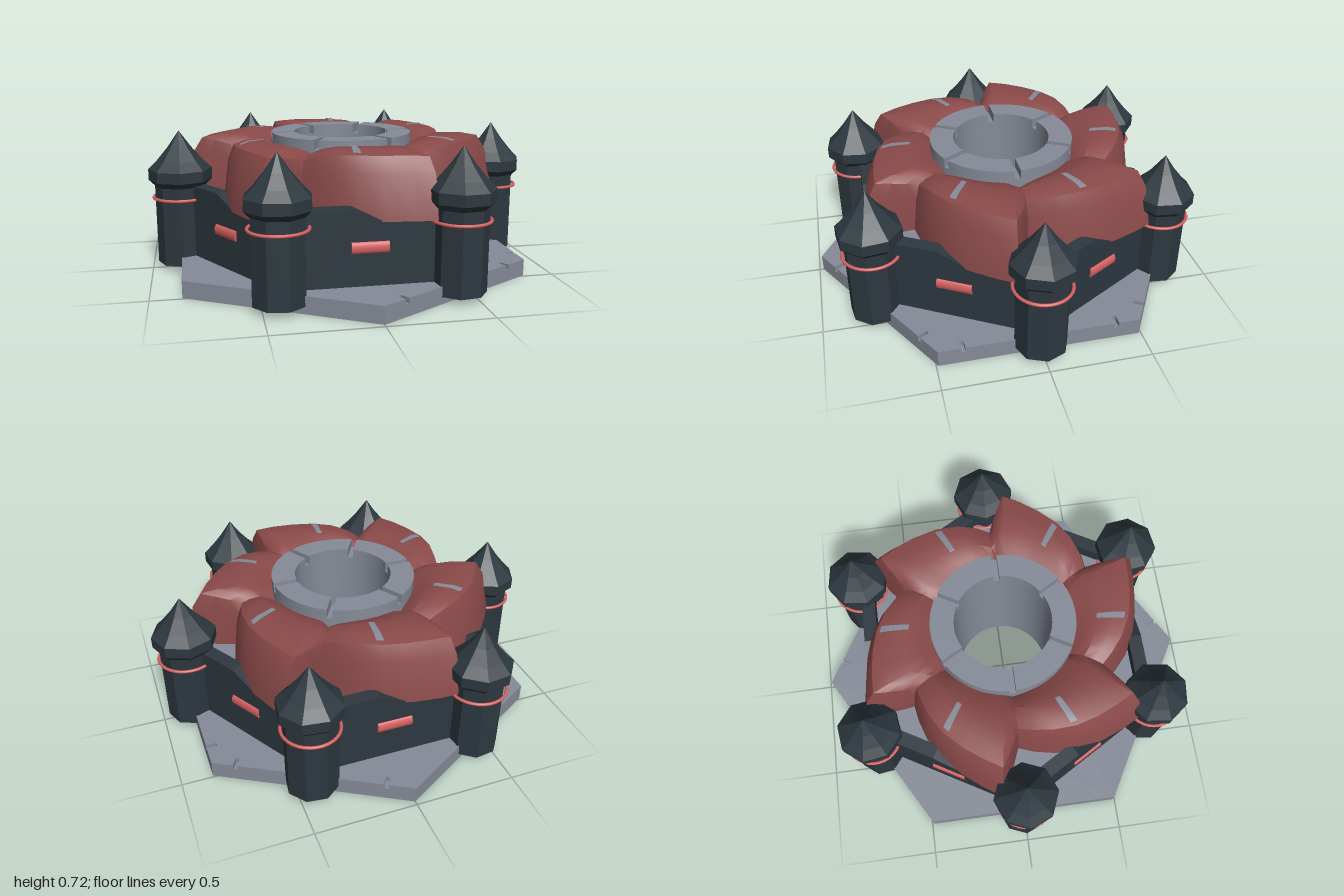
import * as THREE from 'three';
import { toCreasedNormals } from 'three/addons/utils/BufferGeometryUtils.js';

const mat = (name, color, side = THREE.FrontSide) =>
  Object.assign(new THREE.MeshStandardMaterial({ color, side }), { name });
const stone = mat('grey stone', 0x858b98, THREE.DoubleSide);
const dark = mat('dark slate', 0x2d383f);
const roofRed = mat('dull red', 0x8a4a49, THREE.DoubleSide);
const lampRed = mat('bright red', 0xd86262);

const SIXTH = Math.PI / 3;
const HOLE = 0.246;

function mesh(name, geo, material, parent) {
  const m = new THREE.Mesh(geo, material);
  m.name = name;
  parent.add(m);
  return m;
}

// Extrude a plan shape upwards from y0 to y1
function slab(shape, y0, y1) {
  const g = new THREE.ExtrudeGeometry(shape, { depth: y1 - y0, bevelEnabled: false, curveSegments: 48 });
  return g.rotateX(-Math.PI / 2).translate(0, y0, 0);
}

// Hexagon with a round hole; notches lists cut positions for each edge
function hexagon(radius, start, notches = []) {
  const corner = (i) => new THREE.Vector2(Math.cos(start + i * SIXTH), Math.sin(start + i * SIXTH)).multiplyScalar(radius);
  const points = [];
  for (let i = 0; i < 6; i++) {
    const a = corner(i), b = corner(i + 1);
    const mid = a.clone().add(b).normalize();
    points.push(a);
    for (const f of notches[i] || []) {
      const p = a.clone().lerp(b, f - 0.011), q = a.clone().lerp(b, f + 0.011);
      points.push(p, p.clone().addScaledVector(mid, -0.05), q.clone().addScaledVector(mid, -0.05), q);
    }
  }
  const shape = new THREE.Shape(points);
  shape.holes.push(new THREE.Path().absarc(0, 0, HOLE, 0, Math.PI * 2, true));
  return shape;
}

// Roof blade plan: [degrees, outer radius, dip towards the seam]
const BLADE = [[0, 0.58, 0.045], [2.5, 0.65, 0.03], [5, 0.735, 0.015], [7.5, 0.82, 0.005], [15, 0.778, 0],
  [24, 0.738, 0], [34, 0.70, 0], [44, 0.655, 0.004], [53, 0.612, 0.02], [60, 0.58, 0.045]];
// Roof section: [fraction from ring to rim, height]
const SECTION = [[0, 0.635], [0.15, 0.665], [0.35, 0.69], [0.6, 0.688], [0.8, 0.672], [0.9, 0.6], [1, 0.385]];

function sample(table, x, column) {
  let i = 1;
  while (i < table.length - 1 && table[i][0] < x) i++;
  const [a, b] = [table[i - 1], table[i]];
  return THREE.MathUtils.mapLinear(x, a[0], b[0], a[column], b[column]);
}

function roofPoint(deg, s, turn, lift = 0) {
  const r = 0.36 + s * (sample(BLADE, deg, 1) - 0.36);
  const a = THREE.MathUtils.degToRad(deg) + turn;
  const dip = s < 0.95 ? sample(BLADE, deg, 2) : 0;
  return [r * Math.cos(a), sample(SECTION, s, 1) - dip + lift, r * Math.sin(a)];
}

// Surface through rows of points
function skin(rows) {
  const n = rows[0].length, index = [];
  for (let i = 0; i < rows.length - 1; i++)
    for (let j = 0; j < n - 1; j++) {
      const a = i * n + j, b = a + n;
      index.push(a, b, a + 1, b, b + 1, a + 1);
    }
  const g = new THREE.BufferGeometry();
  g.setAttribute('position', new THREE.Float32BufferAttribute(rows.flat(2), 3));
  g.setIndex(index);
  g.computeVertexNormals();
  return g;
}

function buildTower(parent) {
  const profile = [[0, 0.035], [0.13, 0.035], [0.13, 0.44], [0.16, 0.47], [0.16, 0.525],
    [0.115, 0.57], [0.06, 0.635], [0, 0.72]].map(([x, y]) => new THREE.Vector2(x, y));
  const body = new THREE.LatheGeometry(profile, 8).toNonIndexed();
  body.computeVertexNormals();
  mesh('towerBody', body, dark, parent);
  const band = new THREE.TorusGeometry(0.138, 0.008, 8, 32).rotateX(Math.PI / 2);
  mesh('towerBand', band, lampRed, parent).position.y = 0.38;
}

function buildWall(parent) {
  const outline = [[-0.36, 0.07], [0.36, 0.07], [0.36, 0.385], [0.06, 0.385], [-0.08, 0.45], [-0.36, 0.45]];
  const shape = new THREE.Shape(outline.map(([x, y]) => new THREE.Vector2(x, y)));
  const g = new THREE.ExtrudeGeometry(shape, { depth: 0.07, bevelEnabled: false }).translate(0, 0, 0.655);
  mesh('wallPanel', g, dark, parent);
  const lamp = new THREE.CylinderGeometry(0.028, 0.028, 0.175, 16).rotateZ(Math.PI / 2).scale(1, 1, 0.5);
  mesh('wallLamp', lamp, lampRed, parent).position.set(-0.005, 0.268, 0.723);
}

export function createModel() {
  const model = new THREE.Group();
  model.name = 'fortress';

  // Foundation with chipped upper rim
  const base = new THREE.Group();
  base.name = 'foundation';
  model.add(base);
  const chips = [[0.14, 0.38, 0.86], [], [], [], [], [0.14, 0.62, 0.86]];
  chips[5] = [0.12, 0.88];
  chips[0] = [0.12, 0.86];
  chips[4] = [0.14, 0.86];
  mesh('foundationLower', slab(hexagon(0.98, Math.PI / 6), 0, 0.06), stone, base);
  mesh('foundationUpper', slab(hexagon(0.98, Math.PI / 6, chips), 0.06, 0.085), stone, base);
  mesh('innerDeck', slab(hexagon(0.77, 0), 0.35, 0.378), stone, model);

  // Central shaft and its slotted rim
  const shaft = [[0.365, 0.02], [0.365, 0.65], [0.245, 0.65], [0.245, 0]].map(([x, y]) => new THREE.Vector2(x, y));
  mesh('shaft', toCreasedNormals(new THREE.LatheGeometry(shaft, 64), 0.5), stone, model);
  const rimShape = new THREE.Shape();
  rimShape.absarc(0, 0, 0.365, 0.04, SIXTH - 0.04, false);
  rimShape.absarc(0, 0, 0.245, SIXTH - 0.06, 0.06, true);
  const rimGeo = toCreasedNormals(slab(rimShape, 0.65, 0.698), 0.5);

  // Roof blades joined in one swirling surface
  const rows = [];
  for (let k = 0; k < 6; k++)
    for (const [deg] of BLADE.slice(0, -1)) {
      const row = SECTION.map(([s]) => roofPoint(deg, s, k * SIXTH));
      const rim = row[row.length - 1];
      row.push([rim[0] * 0.7, 0.38, rim[2] * 0.7]);
      rows.push(row);
    }
  rows.push(rows[0]);
  mesh('swirlRoof', toCreasedNormals(skin(rows), 0.55), roofRed, model);

  const stripS = [0.32, 0.35, 0.6, 0.74];
  for (let k = 0; k < 6; k++) {
    const turn = k * SIXTH;

    const tower = new THREE.Group();
    tower.name = 'tower';
    tower.position.set(0.84 * Math.cos(turn), 0, 0.84 * Math.sin(turn));
    tower.rotation.y = -turn;
    buildTower(tower);
    model.add(tower);

    const wall = new THREE.Group();
    wall.name = 'wall';
    wall.rotation.y = turn;
    buildWall(wall);
    model.add(wall);

    mesh('rimSegment', rimGeo, stone, model).rotation.y = turn;

    const strip = [32.4, 34, 35.6].map((deg) => stripS.map((s) => roofPoint(deg, s, turn, 0.005)));
    mesh('roofStrip', skin(strip), stone, model);
  }
  return model;
}
